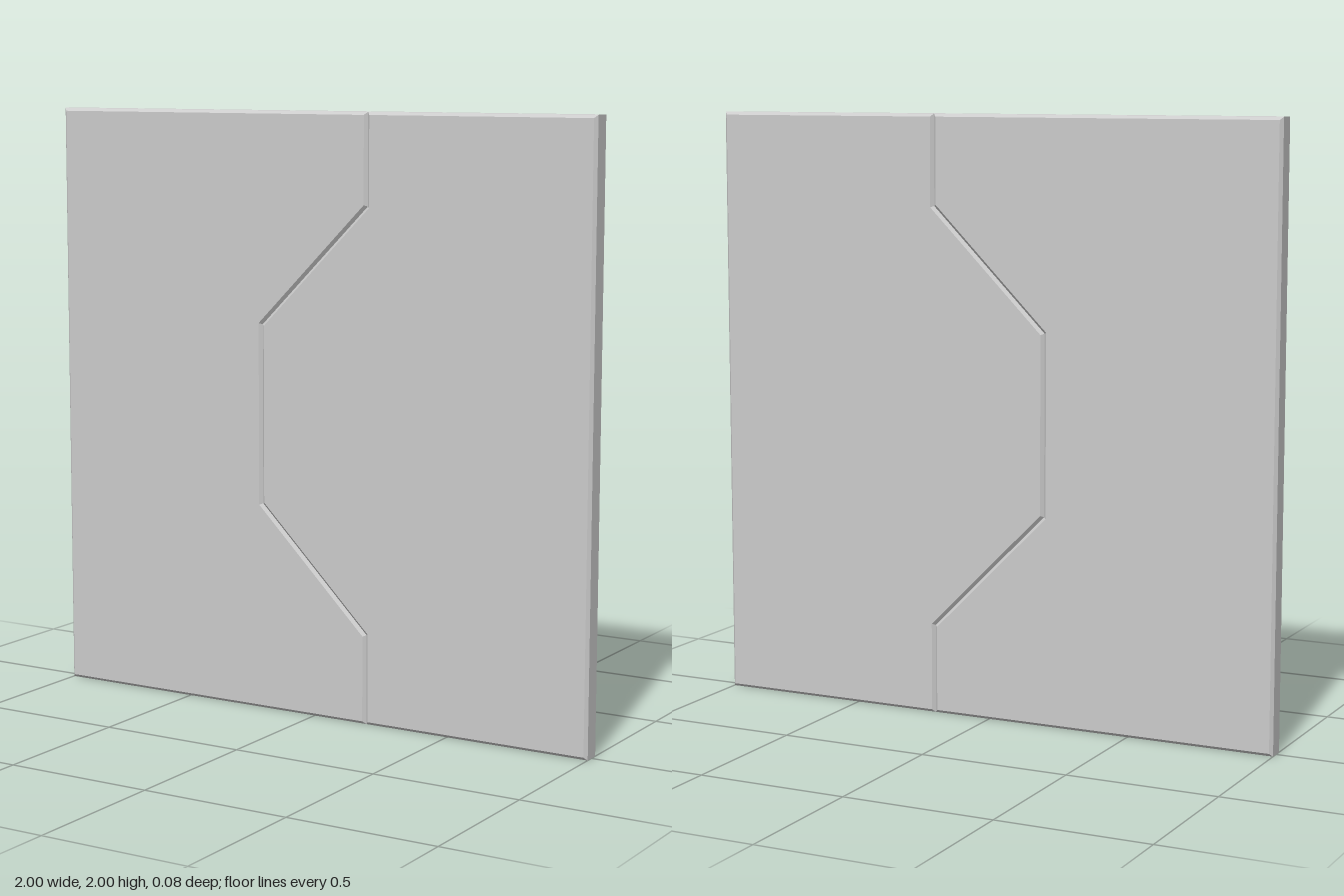
import * as THREE from 'three';

const DEPTH = 0.075;
const BEVEL = 0.01;

// Zigzag seam shared by both panels, from bottom to top
const SEAM = [[0.2, 0], [0.2, 0.3], [-0.2, 0.7], [-0.2, 1.3], [0.2, 1.7], [0.2, 2]];

// Flat slab with chamfered front and back edges, from the seam to one outer side
function makePanel(name, sideX, material) {
  const outline = [...SEAM, [sideX, 2], [sideX, 0]].map(([x, y]) => new THREE.Vector2(x, y));
  const geometry = new THREE.ExtrudeGeometry(new THREE.Shape(outline), {
    depth: DEPTH - 2 * BEVEL,
    bevelEnabled: true,
    bevelThickness: BEVEL,
    bevelSize: BEVEL,
    bevelOffset: -BEVEL,
    bevelSegments: 1,
  });
  geometry.translate(0, 0, BEVEL - DEPTH / 2);
  const panel = new THREE.Mesh(geometry, material);
  panel.name = name;
  return panel;
}

export function createModel() {
  const group = new THREE.Group();
  group.name = 'interlockingPanels';
  const material = new THREE.MeshStandardMaterial({ color: 0xcccccc, flatShading: true });
  group.add(makePanel('leftPanel', 1, material));
  group.add(makePanel('rightPanel', -1, material));
  return group;
}
